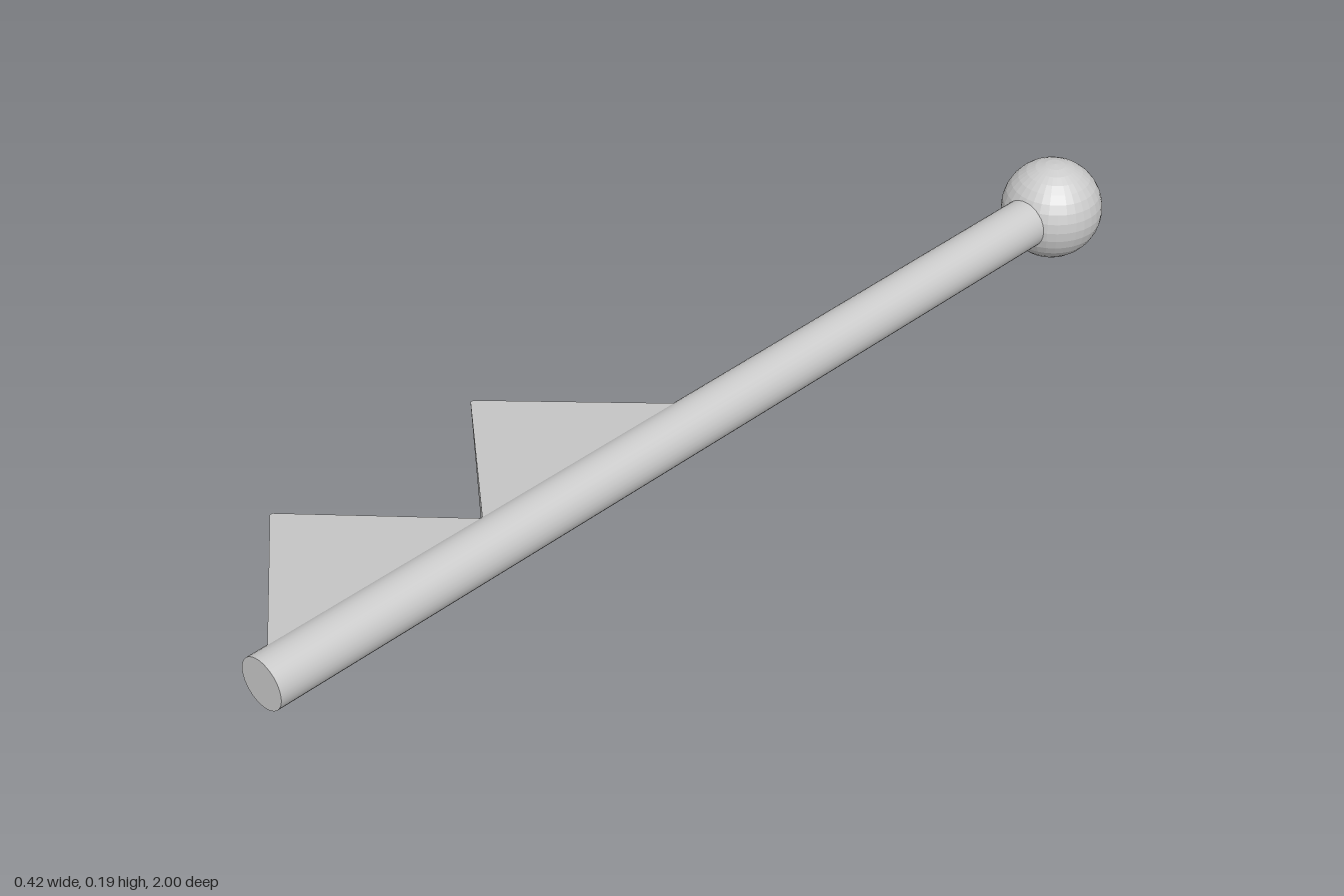
import * as THREE from 'three';

const AXIS_X = 0.115, AXIS_Y = 0.096;

// Tapered wedge: a box whose -x end is squeezed to a small blunt tip
function toothGeometry() {
  const geo = new THREE.BoxGeometry(1, 1, 1);
  const p = geo.attributes.position;
  const base = { x: 0.088, y: [0.055, 0.134], z: [-0.194, 0.246] };
  const tip = { x: -0.211, y: [0.08, 0.086], z: [-0.003, 0.003] };
  for (let i = 0; i < p.count; i++) {
    const end = p.getX(i) > 0 ? base : tip;
    p.setXYZ(i, end.x, end.y[p.getY(i) > 0 ? 1 : 0], end.z[p.getZ(i) > 0 ? 1 : 0]);
  }
  geo.computeVertexNormals();
  return geo;
}

export function createModel() {
  const model = new THREE.Group();
  const smooth = new THREE.MeshStandardMaterial({ color: 0xcccccc });
  const flat = new THREE.MeshStandardMaterial({ color: 0xcccccc, flatShading: true });

  const add = (name, geometry, material, x, y, z) => {
    const mesh = new THREE.Mesh(geometry, material);
    mesh.name = name;
    mesh.position.set(x, y, z);
    model.add(mesh);
    return mesh;
  };

  // Long round shaft, running back into the knob
  const length = 1.87;
  const shaft = add('shaft', new THREE.CylinderGeometry(0.047, 0.047, length, 32), smooth,
    AXIS_X, AXIS_Y, 1 - length / 2);
  shaft.rotation.x = Math.PI / 2;

  // Ball at the back end
  add('knob', new THREE.SphereGeometry(0.095, 32, 16), flat, AXIS_X, AXIS_Y, -0.905);

  // Two pointed teeth on the right side
  const tooth = toothGeometry();
  [0.274, 0.717].forEach((z, i) => add(i ? 'frontTooth' : 'rearTooth', tooth, flat, 0, 0, z));

  return model;
}
